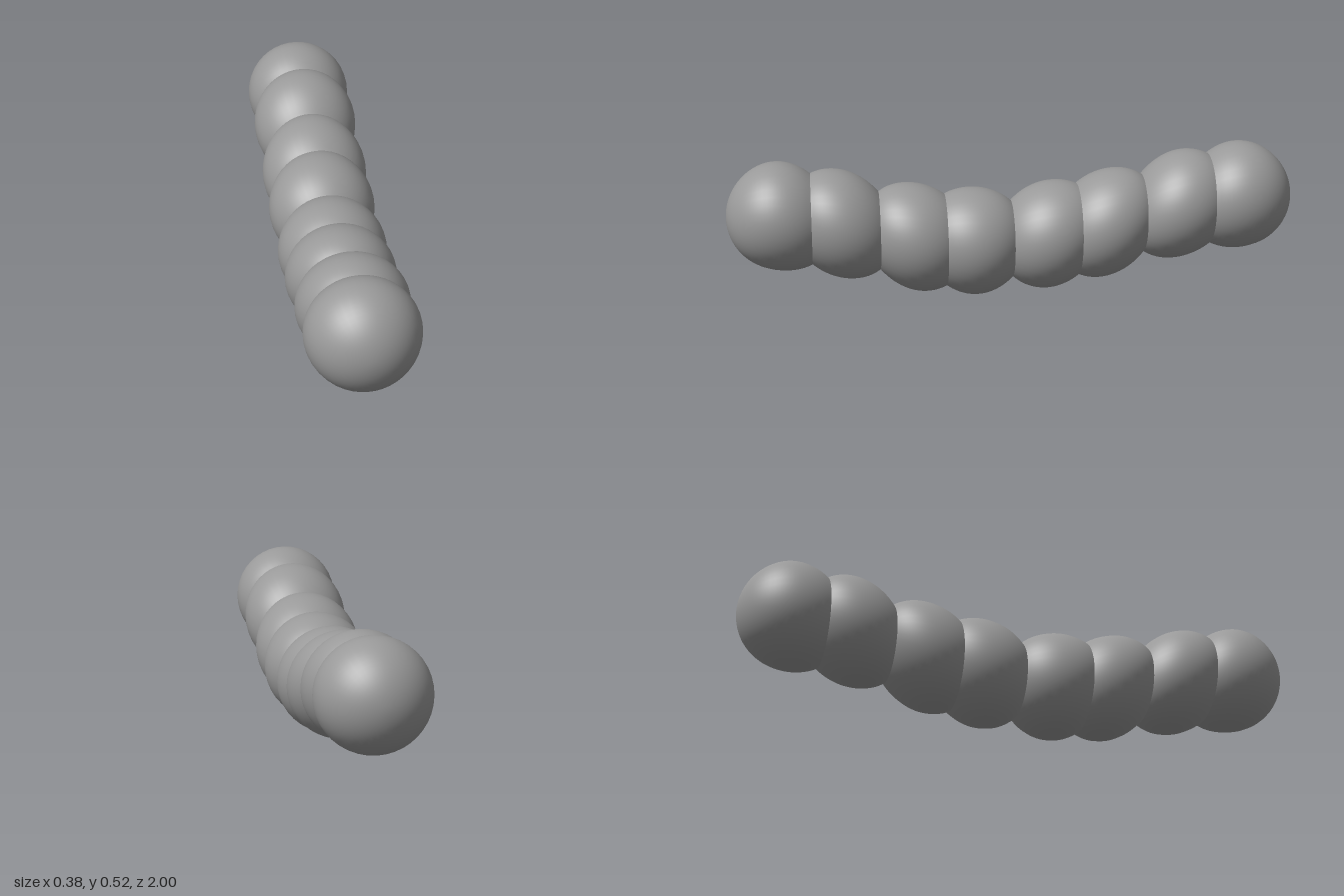
import * as THREE from 'three';
import { mergeVertices } from 'three/addons/utils/BufferGeometryUtils.js';

const R = 0.191;

// Segment centres [z, y], from back to front
const CENTRES = [
  [-0.809, 0.335], [-0.6, 0.308], [-0.335, 0.245], [-0.135, 0.21],
  [0.135, 0.194], [0.335, 0.215], [0.6, 0.273], [0.809, 0.308],
];

// Smooth height of the body axis along z, level at both tips
const path = [[-1, 0.335], ...CENTRES, [1, 0.308]];
const axis = new THREE.CubicInterpolant(path.map((p) => p[0]), path.map((p) => p[1]), 1, new Float32Array(1));
const axisY = (z) => axis.evaluate(THREE.MathUtils.clamp(z, -0.9999, 0.9999))[0];

// Round segment cut off where it meets its neighbours and bent along the axis
function segment(z, front, back) {
  const start = Math.acos(Math.min(1, front / R));
  const end = Math.PI - Math.acos(Math.min(1, back / R));
  let geo = new THREE.SphereGeometry(R, 40, 24, 0, Math.PI * 2, start, end - start);
  geo.rotateX(Math.PI / 2).translate(0, 0, z);
  const pos = geo.attributes.position;
  for (let i = 0; i < pos.count; i++) pos.setY(i, pos.getY(i) + axisY(pos.getZ(i)));
  geo.deleteAttribute('uv');
  geo.deleteAttribute('normal');
  geo = mergeVertices(geo, 1e-5);
  geo.computeVertexNormals();
  return geo;
}

export function createModel() {
  const group = new THREE.Group();
  group.name = 'segmentedBody';
  const grey = new THREE.MeshStandardMaterial({ color: 0x999999 });
  grey.name = 'grey';

  CENTRES.forEach(([z], i) => {
    const front = i < CENTRES.length - 1 ? (CENTRES[i + 1][0] - z) / 2 : R;
    const back = i > 0 ? (z - CENTRES[i - 1][0]) / 2 : R;
    const mesh = new THREE.Mesh(segment(z, front, back), grey);
    mesh.name = i === 0 ? 'tailEnd' : i === CENTRES.length - 1 ? 'headEnd' : `bodySegment${i}`;
    group.add(mesh);
  });
  return group;
}
